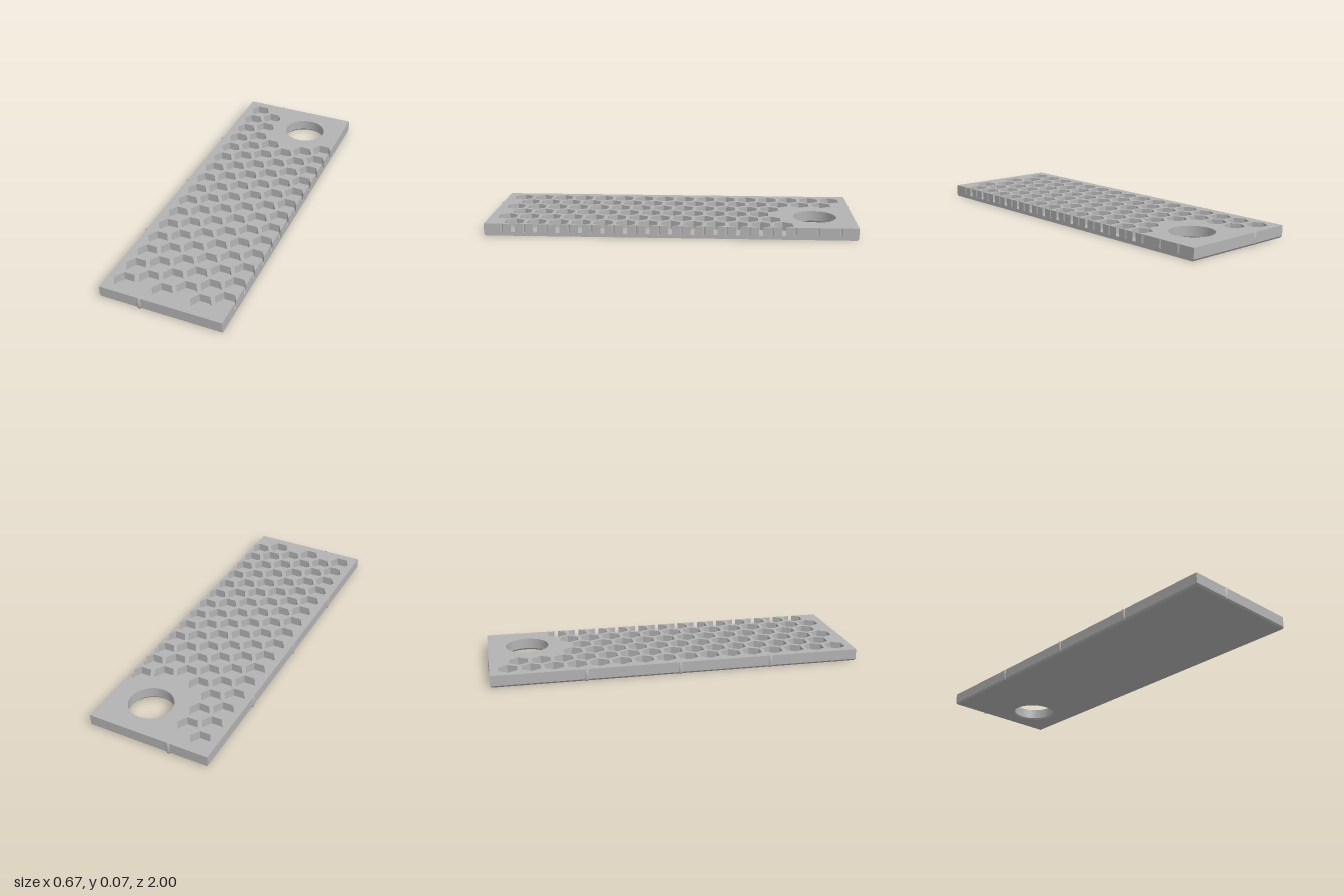
import * as THREE from 'three';

const LEFT = -0.328, RIGHT = 0.333, HALF = 0.995;      // plan outline
const FLOOR = 0.02, HEIGHT = 0.066, CHAMFER = 0.008;   // heights
const PITCH = 0.12, STEP = PITCH * Math.sqrt(3) / 2, R = 0.057, LAST_X = 0.282;
const HOLE = { x: 0.111, z: -0.78, r: 0.117 };

const grey = new THREE.MeshStandardMaterial({ color: 0xb3b3b3 });
grey.name = 'grey';

// Shapes are drawn in (x, -z) and laid flat so that the depth points up.
function extrudeUp(shape, depth, y, steps = 1) {
  const g = new THREE.ExtrudeGeometry(shape, { depth, steps, bevelEnabled: false, curveSegments: 72 });
  g.rotateX(-Math.PI / 2);
  g.translate(0, y, 0);
  return g;
}

function roundHole() {
  return new THREE.Path().absarc(HOLE.x, -HOLE.z, HOLE.r, 0, Math.PI * 2, true);
}

function hexPath(x, y) {
  const pts = [];
  for (let i = 0; i < 6; i++) {
    const a = -i * Math.PI / 3;
    pts.push(new THREE.Vector2(x + R * Math.cos(a), y + R * Math.sin(a)));
  }
  return new THREE.Path(pts);
}

// Solid floor, chamfered underneath on three sides and around the hole
function baseGeometry() {
  const shape = new THREE.Shape([
    new THREE.Vector2(LEFT, -HALF), new THREE.Vector2(RIGHT, -HALF),
    new THREE.Vector2(RIGHT, HALF), new THREE.Vector2(LEFT, HALF)]);
  shape.holes.push(roundHole());
  const g = extrudeUp(shape, FLOOR, 0, 2);
  const p = g.attributes.position;
  for (let i = 0; i < p.count; i++) {
    if (p.getY(i) > 0.001) continue;
    const x = p.getX(i), z = p.getZ(i);
    const dx = x - HOLE.x, dz = z - HOLE.z;
    if (Math.hypot(dx, dz) < HOLE.r + 0.001) {
      const k = 1 + CHAMFER / HOLE.r;
      p.setX(i, HOLE.x + dx * k);
      p.setZ(i, HOLE.z + dz * k);
    } else {
      if (x < LEFT + 0.001) p.setX(i, x + CHAMFER);
      p.setZ(i, z - Math.sign(z) * CHAMFER);
    }
  }
  g.computeVertexNormals();
  return g;
}

// Upper layer with hexagonal pockets; the right edge cuts through the last two columns
function honeycombGeometry() {
  const holes = [roundHole()], notches = [];
  const clear = (x, z) => Math.hypot(x - HOLE.x, z - HOLE.z) > 0.2;
  for (let col = 0; col < 7; col++) {
    const x = LAST_X + (col - 5) * STEP, odd = col % 2;
    for (let row = 0; row < 16 - odd; row++) {
      const z = -0.9 + (row + odd / 2) * PITCH;
      if (col === 6) notches.push({ y: -z, x, slit: true });
      else if (!clear(x, z)) continue;
      else if (col === 5) notches.push({ y: -z, x, slit: false });
      else holes.push(hexPath(x, -z));
    }
  }
  notches.sort((a, b) => a.y - b.y);

  const shape = new THREE.Shape();
  shape.moveTo(LEFT, -HALF);
  shape.lineTo(RIGHT, -HALF);
  const flat = R * Math.sqrt(3) / 2;
  for (const { x, y, slit } of notches) {
    const half = Math.sqrt(3) * (slit ? RIGHT - (x - R) : x + R - RIGHT);
    shape.lineTo(RIGHT, y - half);
    if (!slit) {
      shape.lineTo(x + R / 2, y - flat);
      shape.lineTo(x - R / 2, y - flat);
    }
    shape.lineTo(x - R, y);
    if (!slit) {
      shape.lineTo(x - R / 2, y + flat);
      shape.lineTo(x + R / 2, y + flat);
    }
    shape.lineTo(RIGHT, y + half);
  }
  shape.lineTo(RIGHT, HALF);
  shape.lineTo(LEFT, HALF);
  shape.holes.push(...holes);
  return extrudeUp(shape, HEIGHT - FLOOR, FLOOR);
}

export function createModel() {
  const model = new THREE.Group();
  model.name = 'honeycombPlate';
  const add = (name, geometry, x = 0, z = 0) => {
    const mesh = new THREE.Mesh(geometry, grey);
    mesh.name = name;
    mesh.position.set(x, 0, z);
    model.add(mesh);
  };

  add('basePlate', baseGeometry());
  add('honeycombLayer', honeycombGeometry());

  // Small tapered locating ribs on the left, front and back edges
  const profile = [[0, 0.0003], [0.01, 0.0003], [0.0105, 0.006], [0.014, 0.016], [0.014, 0.0658], [0, 0.0658]];
  const rib = new THREE.LatheGeometry(profile.map(([r, y]) => new THREE.Vector2(r, y)), 24);
  const inset = 0.009;
  for (const z of [-0.5, 0, 0.5]) add('sideRib', rib, LEFT + inset, z);
  add('frontRib', rib, -0.111, HALF - inset);
  add('backRib', rib, -0.111, -HALF + inset);
  return model;
}
